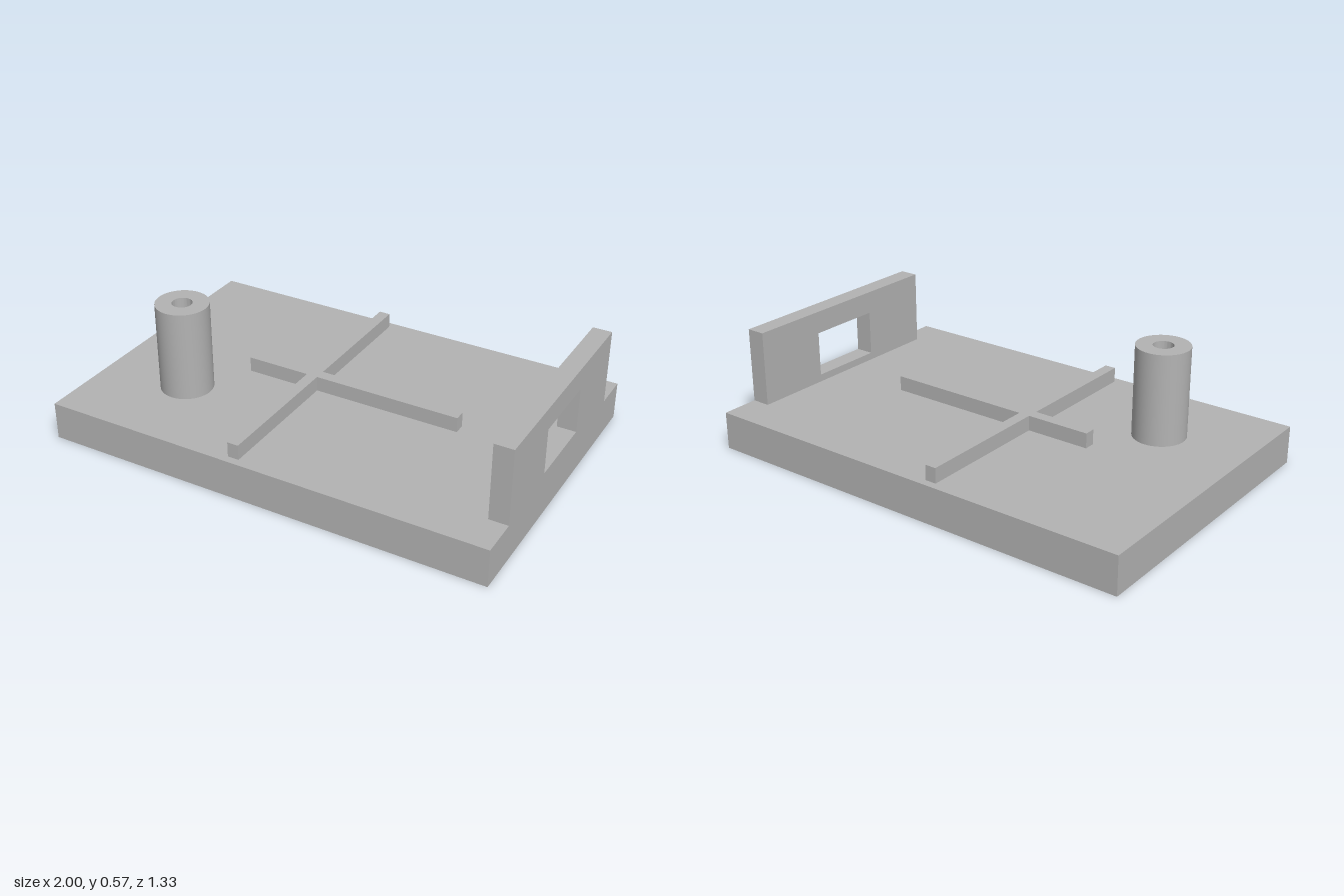
import * as THREE from 'three';
import { toCreasedNormals } from 'three/addons/utils/BufferGeometryUtils.js';

const BASE_TOP = 0.167;
const BOSS = { x: -0.602, z: 0.265, outer: 0.115, bore: 0.044, top: 0.567 };
const SEGMENTS = 48;

function addRect(path, x0, y0, x1, y1) {
  path.moveTo(x0, y0);
  path.lineTo(x1, y0);
  path.lineTo(x1, y1);
  path.lineTo(x0, y1);
  path.closePath();
  return path;
}

function extrude(shape, depth) {
  const geometry = new THREE.ExtrudeGeometry(shape, {
    depth, bevelEnabled: false, curveSegments: SEGMENTS,
  });
  return toCreasedNormals(geometry, 0.6);
}

export function createModel() {
  const group = new THREE.Group();
  const grey = new THREE.MeshStandardMaterial({ color: 0xb3b3b3 });
  grey.name = 'grey';

  const add = (name, geometry) => {
    const mesh = new THREE.Mesh(geometry, grey);
    mesh.name = name;
    group.add(mesh);
    return mesh;
  };

  // Base plate, drilled through below the boss
  const plate = addRect(new THREE.Shape(), -1, -0.667, 1, 0.667);
  const bore = new THREE.Path();
  bore.absarc(BOSS.x, -BOSS.z, BOSS.bore, 0, Math.PI * 2, true);
  plate.holes.push(bore);
  add('basePlate', extrude(plate, BASE_TOP).rotateX(-Math.PI / 2));

  // Hollow round boss
  const profile = [
    [BOSS.outer, BASE_TOP], [BOSS.outer, BOSS.top],
    [BOSS.bore, BOSS.top], [BOSS.bore, BASE_TOP],
  ].map(([r, y]) => new THREE.Vector2(r, y));
  const boss = add('boss', toCreasedNormals(new THREE.LatheGeometry(profile, SEGMENTS), 0.6));
  boss.position.set(BOSS.x, 0, BOSS.z);

  // Cross-shaped stiffening rib
  const [xl, xr, zEnd, half, cx] = [-0.433, 0.563, 0.633, 0.025, -0.121];
  const cross = new THREE.Shape([
    [xl, -half], [cx - half, -half], [cx - half, -zEnd], [cx + half, -zEnd],
    [cx + half, -half], [xr, -half], [xr, half], [cx + half, half],
    [cx + half, zEnd], [cx - half, zEnd], [cx - half, half], [xl, half],
  ].map(([x, y]) => new THREE.Vector2(x, y)));
  add('crossRib', extrude(cross, 0.0665).rotateX(-Math.PI / 2)).position.y = BASE_TOP;

  // Upright end wall with a rectangular window
  const wall = addRect(new THREE.Shape(), -0.5, BASE_TOP, 0.5, 0.5);
  wall.holes.push(addRect(new THREE.Path(), -0.168, 0.2, 0.168, 0.4));
  add('endWall', extrude(wall, 0.083).rotateY(Math.PI / 2)).position.x = 0.917;

  return group;
}
